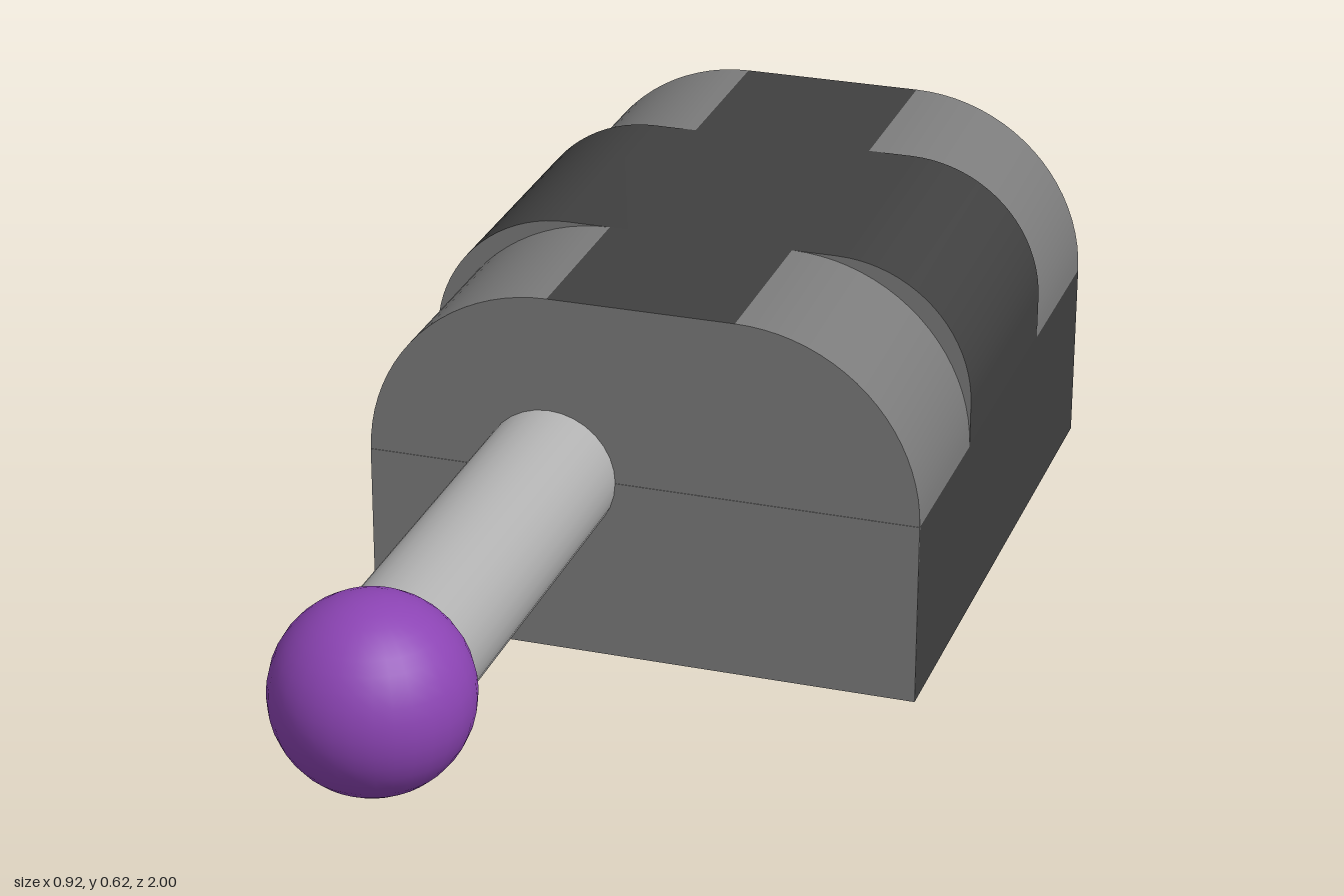
import * as THREE from 'three';
import { toCreasedNormals } from 'three/addons/utils/BufferGeometryUtils.js';

const W = 0.46, MID = 0.31, TOP = 0.615, FRONT = 0.08, BACK = -1;
const CENTER = (FRONT + BACK) / 2, RECESS = 0.075, FLAT = 0.155;

function paint(name, color) {
  const m = new THREE.MeshStandardMaterial({ color });
  m.name = name;
  return m;
}

export function createModel() {
  const dark = paint('charcoal', 0x404040);
  const grey = paint('grey', 0x7c7c7c);
  const steel = paint('lightGrey', 0xb2b2b2);
  const purple = paint('purple', 0x8c44b4);
  const red = paint('red', 0xe61010);
  red.side = THREE.DoubleSide;

  const model = new THREE.Group();
  model.name = 'roundedBlockWithLever';
  function add(name, geometry, material, x = 0, y = 0, z = 0) {
    const mesh = new THREE.Mesh(geometry, material);
    mesh.name = name;
    mesh.position.set(x, y, z);
    model.add(mesh);
    return mesh;
  }
  function extrude(shape, depth) {
    return toCreasedNormals(new THREE.ExtrudeGeometry(shape, {
      depth, bevelEnabled: false, curveSegments: 10,
    }), 0.6);
  }

  // Lower block: rim with a round opening underneath, solid above it
  const half = (FRONT - BACK) / 2;
  const rim = new THREE.Shape([
    new THREE.Vector2(-W, -half), new THREE.Vector2(W, -half),
    new THREE.Vector2(W, half), new THREE.Vector2(-W, half),
  ]);
  rim.holes.push(new THREE.Path().absarc(0, 0, 0.37, 0, Math.PI * 2, true));
  const rimGeo = new THREE.ExtrudeGeometry(rim, { depth: RECESS, bevelEnabled: false, curveSegments: 32 });
  rimGeo.rotateX(-Math.PI / 2);
  add('baseRim', rimGeo, dark, 0, 0, CENTER);
  add('baseBlock', new THREE.BoxGeometry(W * 2, MID - RECESS, half * 2), dark, 0, (MID + RECESS) / 2, CENTER);
  add('frontPlate', new THREE.BoxGeometry(W * 2, MID, 0.004), grey, 0, MID / 2, FRONT - 0.001);

  // Red lining of the underside recess
  const disc = new THREE.CircleGeometry(0.37, 64);
  disc.rotateX(Math.PI / 2);
  add('recessFloor', disc, red, 0, RECESS - 0.003, CENTER);
  add('recessWall', new THREE.CylinderGeometry(0.368, 0.368, RECESS - 0.003, 64, 1, true), red, 0, (RECESS - 0.003) / 2, CENTER);

  // Raised middle saddle with tighter shoulders; its end steps are grey
  const r = 0.23;
  const saddle = new THREE.Shape();
  saddle.moveTo(-W, MID);
  saddle.lineTo(W, MID);
  saddle.lineTo(W, TOP - r);
  saddle.absarc(W - r, TOP - r, r, 0, Math.PI / 2, false);
  saddle.absarc(-W + r, TOP - r, r, Math.PI / 2, Math.PI, false);
  saddle.closePath();
  add('middleSaddle', extrude(saddle, 0.46), [grey, dark], 0, 0, -0.69);

  // Grey quarter-round corners and dark spine at both ends
  const corner = new THREE.Shape();
  corner.moveTo(FLAT, MID);
  corner.lineTo(W, MID);
  corner.absarc(FLAT, MID, TOP - MID, 0, Math.PI / 2, false);
  corner.closePath();
  for (const [end, z0, z1] of [['front', -0.23, FRONT], ['back', BACK, -0.69]]) {
    const depth = z1 - z0;
    add(end + 'CornerLeft', extrude(corner, depth), grey, 0, 0, z0);
    const right = add(end + 'CornerRight', extrude(corner, depth), grey, 0, 0, z0);
    // mirrored across x by turning half round the vertical axis
    right.rotation.y = Math.PI;
    right.position.z = z1;
    add(end + 'Spine', new THREE.BoxGeometry(FLAT * 2, TOP - MID, depth),
      [dark, dark, dark, dark, grey, grey], 0, (TOP + MID) / 2, (z0 + z1) / 2);
  }

  // Lever rod and ball, set to one side
  const rod = new THREE.CylinderGeometry(0.112, 0.112, 0.72, 32);
  rod.rotateX(Math.PI / 2);
  add('leverRod', rod, steel, -0.154, 0.31, 0.42);
  add('leverBall', new THREE.SphereGeometry(0.154, 32, 20), purple, -0.154, 0.31, 0.846);

  return model;
}
